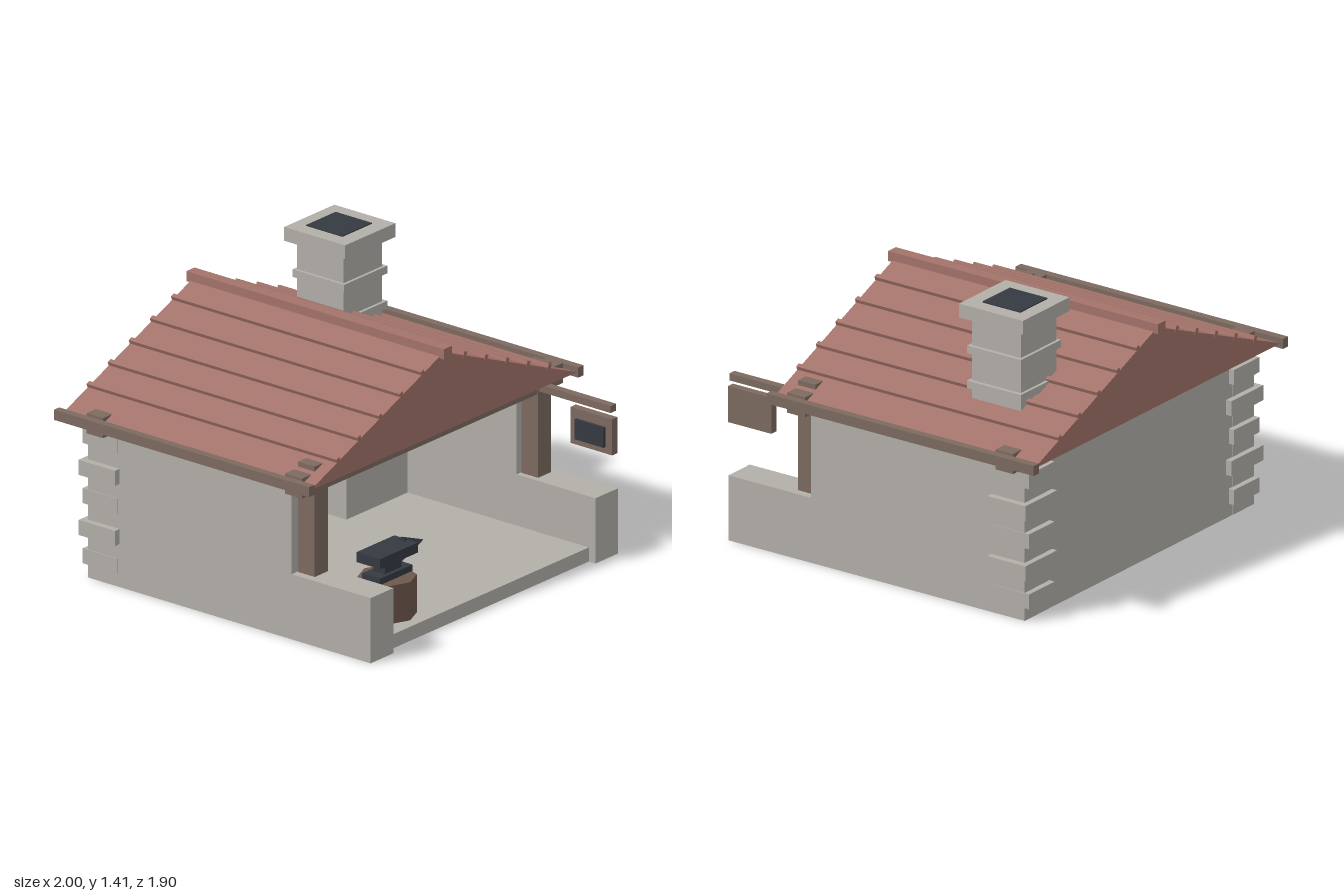
import * as THREE from 'three';

const mat = (color) => new THREE.MeshStandardMaterial({ color, flatShading: true });

export function createModel() {
  const model = new THREE.Group();
  const stone = mat(0xb2afa9), tile = mat(0xa3736a), wood = mat(0x7d6a60);
  const bark = mat(0x6e584d), iron = mat(0x353a42);

  const group = (name) => {
    const g = new THREE.Group();
    g.name = name;
    model.add(g);
    return g;
  };
  const add = (parent, name, geometry, material) => {
    const mesh = new THREE.Mesh(geometry, material);
    mesh.name = name;
    parent.add(mesh);
    return mesh;
  };
  // Box given by its extents on each axis
  const box = (parent, name, material, x0, x1, y0, y1, z0, z1) => {
    const mesh = add(parent, name, new THREE.BoxGeometry(Math.abs(x1 - x0), y1 - y0, z1 - z0), material);
    mesh.position.set((x0 + x1) / 2, (y0 + y1) / 2, (z0 + z1) / 2);
    return mesh;
  };

  // Floor, walls and low front walls
  const walls = group('walls');
  box(walls, 'floor', stone, -0.9, 0.9, 0, 0.07, -0.82, 0.84);
  box(walls, 'backWall', stone, -0.735, 0.735, 0.07, 0.806, -0.82, -0.655);
  for (const s of [-1, 1]) {
    box(walls, 'sideWall', stone, s * 0.735, s * 0.901, 0, 0.806, -0.821, 0.405);
    box(walls, 'lowWall', stone, s * 0.735, s * 0.901, 0, 0.325, 0.405, 0.88);
  }

  // Alternating corner stones at the back
  const quoins = group('cornerStones');
  for (const s of [-1, 1]) {
    for (let i = 0; i < 5; i++) {
      const y = 0.065 + i * 0.15;
      if (i % 2) box(quoins, 'longStone', stone, s * 0.685, s * 0.935, y, y + 0.075, -0.85, -0.63);
      else box(quoins, 'shortStone', stone, s * 0.705, s * 0.905, y, y + 0.075, -0.85, -0.64);
    }
  }

  // Timber frame: posts, cross beams and eave beams
  const frame = group('timberFrame');
  for (const s of [-1, 1]) {
    box(frame, 'post', wood, s * 0.765, s * 0.86, 0.325, 0.875, 0.41, 0.51);
    box(frame, 'eaveBeam', wood, s * 0.96, s, 0.785, 0.835, -0.945, 0.59);
  }
  box(frame, 'frontBeam', wood, -0.95, 0.95, 0.742, 0.842, 0.405, 0.508);
  box(frame, 'backBeam', wood, -0.95, 0.95, 0.742, 0.842, -0.79, -0.69);

  // Gabled roof with ridge and sloping ribs
  const roof = group('roof');
  const gable = new THREE.Shape([[-0.97, 0.806], [0.97, 0.806], [0, 1.2]].map(([x, y]) => new THREE.Vector2(x, y)));
  add(roof, 'roofBody', new THREE.ExtrudeGeometry(gable, { depth: 1.5, bevelEnabled: false }), tile).position.z = -0.925;
  box(roof, 'ridge', tile, -0.03, 0.03, 1.18, 1.23, -0.95, 0.6);
  const slope = (1.2 - 0.806) / 0.97;
  for (const s of [-1, 1]) {
    for (let i = 1; i <= 5; i++) {
      const rib = add(roof, 'roofRib', new THREE.BoxGeometry(0.023, 0.03, 1.504), tile);
      rib.position.set(s * i * 0.1535, 1.205 - i * 0.1535 * slope, -0.175);
      rib.rotation.z = -s * Math.atan(slope);
    }
  }

  // Chimney with bands, cap and dark flue
  const chimney = group('chimney');
  box(chimney, 'shaft', stone, 0.39, 0.67, 0.8, 1.34, -0.63, -0.35);
  for (const y of [0.98, 1.155]) box(chimney, 'band', stone, 0.375, 0.69, y, y + 0.038, -0.645, -0.335);
  box(chimney, 'cap', stone, 0.35, 0.715, 1.335, 1.404, -0.675, -0.308);
  box(chimney, 'flue', iron, 0.425, 0.64, 1.39, 1.409, -0.605, -0.387);

  // Forge: hearth, coals and hood on two jambs
  const forge = group('forge');
  box(forge, 'hearth', stone, 0.29, 0.735, 0.07, 0.317, -0.655, -0.25);
  box(forge, 'coalBed', iron, 0.355, 0.71, 0.317, 0.335, -0.62, -0.29);
  box(forge, 'jamb', stone, 0.31, 0.39, 0.317, 0.64, -0.655, -0.33);
  box(forge, 'jamb', stone, 0.67, 0.735, 0.317, 0.64, -0.655, -0.33);
  box(forge, 'hood', stone, 0.29, 0.735, 0.64, 0.806, -0.655, -0.33);

  // Hammers hung on a wall rack
  const rack = group('toolRack');
  box(rack, 'rackBoard', wood, -0.245, 0.245, 0.535, 0.575, -0.655, -0.59);
  for (const x of [-0.16, 0, 0.155]) {
    box(rack, 'hammerHandle', wood, x - 0.01, x + 0.01, 0.4, 0.61, -0.625, -0.605);
    box(rack, 'hammerHead', iron, x - 0.04, x + 0.04, 0.605, 0.645, -0.635, -0.595);
  }

  // Workbench along the side wall
  const bench = group('workbench');
  box(bench, 'benchTop', wood, -0.735, -0.56, 0.365, 0.408, -0.43, 0.16);
  for (const x of [-0.7, -0.58])
    for (const z of [-0.39, 0.12]) box(bench, 'benchLeg', wood, x - 0.02, x + 0.02, 0.07, 0.365, z - 0.02, z + 0.02);
  box(bench, 'benchTool', iron, -0.73, -0.605, 0.408, 0.443, -0.1, -0.04);

  // Anvil on an eight-sided stump
  const anvil = group('anvil');
  add(anvil, 'stump', new THREE.CylinderGeometry(0.138, 0.138, 0.19, 8), bark).position.set(-0.502, 0.165, 0.65);
  box(anvil, 'anvilFoot', iron, -0.62, -0.385, 0.26, 0.292, 0.595, 0.705);
  box(anvil, 'anvilWaist', iron, -0.56, -0.44, 0.292, 0.35, 0.615, 0.685);
  box(anvil, 'anvilFace', iron, -0.64, -0.365, 0.35, 0.4, 0.58, 0.722);
  const horn = add(anvil, 'anvilHorn', new THREE.ConeGeometry(0.062, 0.16, 4), iron);
  horn.rotation.z = -Math.PI / 2;
  horn.position.set(-0.32, 0.36, 0.652);

  // Hanging sign on an arm
  const sign = group('sign');
  box(sign, 'signArm', wood, 0.77, 0.81, 0.755, 0.79, 0.45, 0.942);
  box(sign, 'signBoard', wood, 0.772, 0.81, 0.545, 0.725, 0.7, 0.95);
  box(sign, 'signPlate', iron, 0.757, 0.772, 0.577, 0.677, 0.735, 0.91);

  return model;
}
